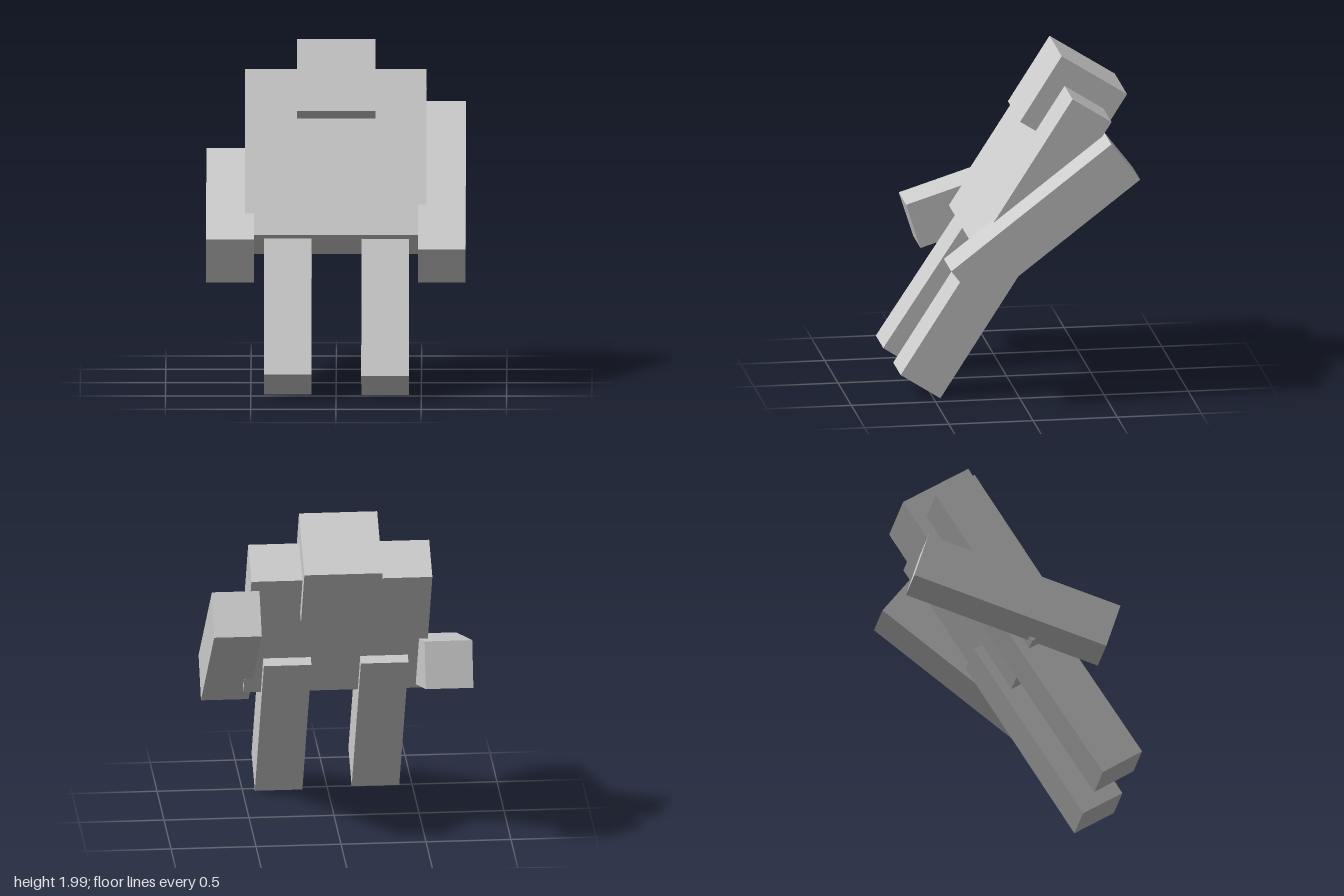
import * as THREE from 'three';

const material = new THREE.MeshStandardMaterial({ color: 0xcccccc, flatShading: true });

// A block leaning back by the given angle (degrees from upright)
function block(name, size, center, lean) {
  const mesh = new THREE.Mesh(new THREE.BoxGeometry(...size), material);
  mesh.name = name;
  mesh.position.set(...center);
  mesh.rotation.x = -THREE.MathUtils.degToRad(lean);
  return mesh;
}

export function createModel() {
  const group = new THREE.Group();
  group.name = 'blockFigure';
  const limb = [0.28, 1.2, 0.28];

  // Head and torso share the same backward lean
  group.add(block('head', [0.46, 0.46, 0.46], [0, 1.68, -0.362], 32.5));
  group.add(block('torso', [1.065, 1.064, 0.275], [-0.002, 1.295, -0.137], 32.7));

  // Arms swing by different amounts
  group.add(block('leftArm', limb, [0.62, 1.12, -0.113], 52.4));
  group.add(block('rightArm', limb, [-0.622, 0.983, -0.095], 72.4));

  // Legs are almost in step
  group.add(block('leftLeg', limb, [0.288, 0.584, 0.254], 32.7));
  group.add(block('rightLeg', limb, [-0.283, 0.588, 0.262], 33.4));

  return group;
}
